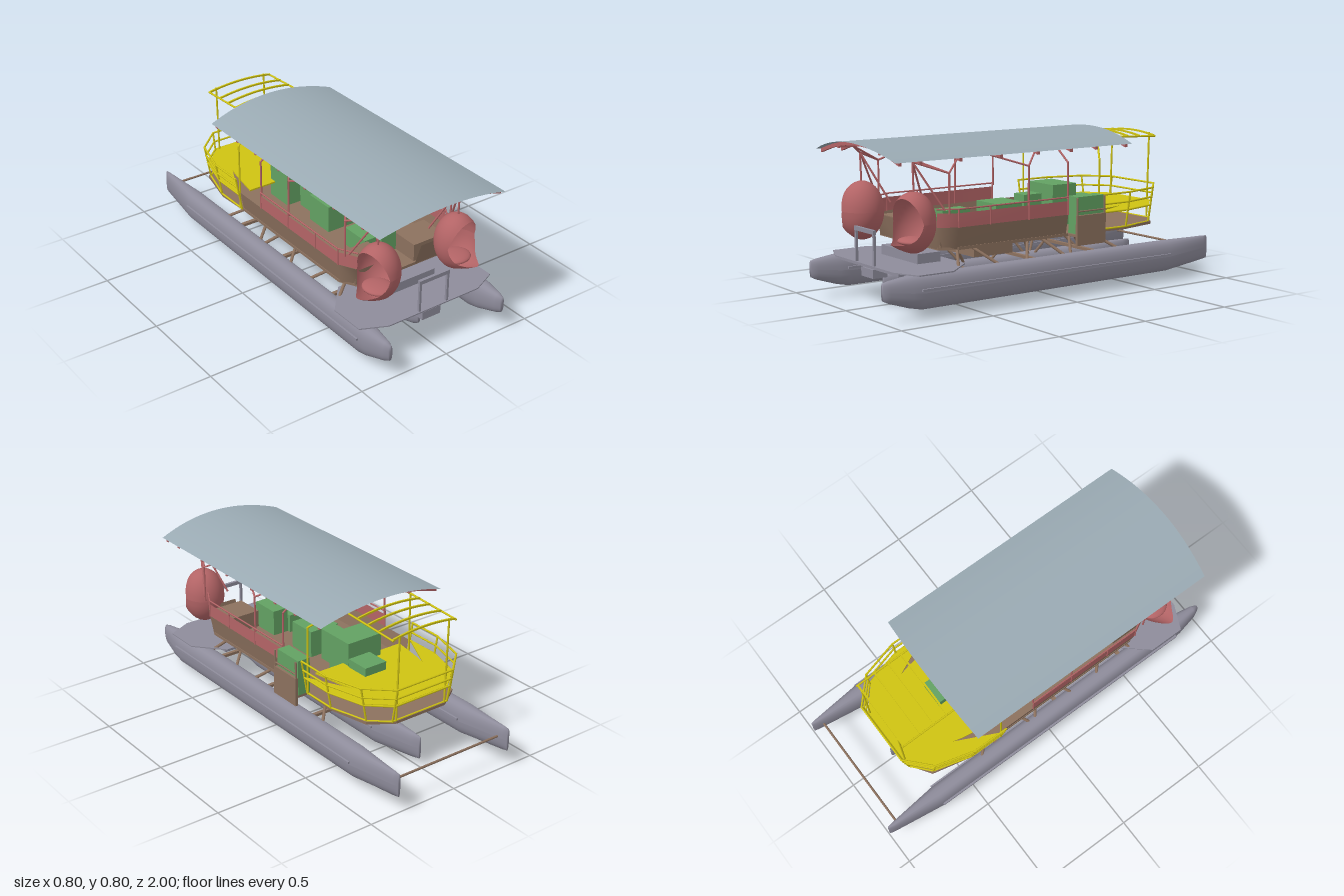
import * as THREE from 'three';

const mat = (color) => new THREE.MeshStandardMaterial({ color, side: THREE.DoubleSide, roughness: 0.8 });
const V = (p) => new THREE.Vector3(...p);

export function createModel() {
  const root = new THREE.Group();
  const grey = mat(0x8e8c9b), brown = mat(0x8c715e), red = mat(0xb36466),
    green = mat(0x62a162), yellow = mat(0xcfc312), blue = mat(0x9aaab3);

  const add = (name, geo, m, parent = root) => {
    const mesh = new THREE.Mesh(geo, m);
    mesh.name = name;
    parent.add(mesh);
    return mesh;
  };
  // box from its minimum and maximum corners
  const box = (name, m, a, b) => {
    const mesh = add(name, new THREE.BoxGeometry(b[0] - a[0], b[1] - a[1], b[2] - a[2]), m);
    mesh.position.set((a[0] + b[0]) / 2, (a[1] + b[1]) / 2, (a[2] + b[2]) / 2);
    return mesh;
  };
  // straight rods joining a list of points
  const rods = (name, m, pts, r = 0.004) => {
    for (let i = 1; i < pts.length; i++) {
      const a = V(pts[i - 1]), d = V(pts[i]).sub(a);
      const mesh = add(name, new THREE.CylinderGeometry(r, r, d.length() + r, 8), m);
      mesh.position.copy(a).addScaledVector(d, 0.5);
      mesh.quaternion.setFromUnitVectors(new THREE.Vector3(0, 1, 0), d.normalize());
    }
  };
  // horizontal plate from an (x, z) outline
  const plate = (name, m, pts, y0, y1) => {
    const shape = new THREE.Shape(pts.map(([x, z]) => new THREE.Vector2(x, -z)));
    const geo = new THREE.ExtrudeGeometry(shape, { depth: y1 - y0, bevelEnabled: false });
    geo.rotateX(-Math.PI / 2).translate(0, y0, 0);
    return add(name, geo, m);
  };
  const mirror = (half) => [...half, ...half.map(([x, z]) => [-x, z]).reverse()];
  // skin through rows of points
  const loft = (rows) => {
    const n = rows[0].length, idx = [];
    for (let i = 0; i < rows.length - 1; i++)
      for (let j = 0; j < n - 1; j++) {
        const a = i * n + j, b = a + n;
        idx.push(a, b, a + 1, b, b + 1, a + 1);
      }
    const geo = new THREE.BufferGeometry();
    geo.setAttribute('position', new THREE.Float32BufferAttribute(rows.flat(2), 3));
    geo.setIndex(idx);
    geo.computeVertexNormals();
    return geo;
  };

  // floats: rounded sections [z, halfWidth, bottom, top]
  const pontoon = (name, cx, sections) => {
    const rows = sections.map(([z, w, b, t]) => {
      const ring = [];
      for (let i = 0; i <= 24; i++) {
        const a = (i / 24) * Math.PI * 2, c = Math.cos(a), s = Math.sin(a);
        ring.push([cx + w * Math.sign(c) * Math.abs(c) ** 0.75,
          (b + t) / 2 + (t - b) / 2 * Math.sign(s) * Math.abs(s) ** 0.9, z]);
      }
      return ring;
    });
    const tip = ([z, , b, t]) => Array(25).fill([cx, (b + t) / 2, z]);
    add(name, loft([tip(sections[0]), ...rows, tip(sections.at(-1))]), grey);
  };
  const outer = [[-1, 0.008, 0.085, 0.205], [-0.97, 0.016, 0.08, 0.207], [-0.7, 0.052, 0.05, 0.21],
    [0.8, 0.052, 0.042, 0.21], [0.86, 0.048, 0.055, 0.208], [0.97, 0.026, 0.09, 0.195], [1, 0.012, 0.105, 0.188]];
  const middle = [[-0.75, 0.008, 0.045, 0.165], [-0.7, 0.02, 0.035, 0.168], [-0.45, 0.053, 0, 0.17],
    [0.57, 0.053, 0, 0.17], [0.64, 0.047, 0.012, 0.168], [0.76, 0.026, 0.045, 0.155], [0.79, 0.01, 0.06, 0.148]];
  for (const s of [-1, 1]) {
    pontoon('sideFloat', s * 0.34, outer);
    for (const e of [-1, 1]) {
      const x = s * 0.34 + e * 0.055, cx = e * 0.055;
      box('floatRail', grey, [x - 0.006, 0.136, -0.7], [x + 0.006, 0.147, 0.82]);
      box('middleFloatRail', grey, [cx - 0.006, 0.096, -0.45], [cx + 0.006, 0.107, 0.57]);
    }
  }
  pontoon('middleFloat', 0, middle);
  rods('sternPole', brown, [[-0.34, 0.147, -0.945], [0.34, 0.147, -0.945]], 0.006);

  // bow deck, step and small railing
  plate('bowDeck', grey, mirror([[0.27, 0.5], [0.4, 0.65], [0.4, 0.84], [0.27, 0.9]]), 0.209, 0.215);
  box('deckBeam', grey, [-0.27, 0.19, 0.52], [0.27, 0.21, 0.87]);
  box('deckStep', grey, [-0.165, 0.215, 0.57], [0.165, 0.263, 0.7]);
  box('bowBracket', grey, [-0.055, 0.147, 0.8], [0.055, 0.19, 0.88]);
  for (const s of [-1, 1]) box('bowRailPost', grey, [s * 0.083 - 0.006, 0.213, 0.882], [s * 0.083 + 0.006, 0.37, 0.894]);
  box('bowRailTop', grey, [-0.09, 0.365, 0.88], [0.09, 0.385, 0.896]);

  // support struts
  for (const [zt, zb] of [[0.5, 0.57], [0.44, 0.34], [0.08, 0.17], [0.02, -0.06], [-0.18, -0.1], [-0.28, -0.4]]) {
    for (const s of [-1, 1]) {
      rods('hullStrut', brown, [[s * 0.2, 0.29, zt], [s * 0.32, 0.2, zb]], 0.008);
      rods('middleStrut', brown, [[s * 0.08, 0.29, zt], [s * 0.02, 0.16, zb]], 0.007);
    }
  }
  for (const z of [0.5, 0.08, -0.3]) box('crossBeam', brown, [-0.32, 0.178, z - 0.01], [0.32, 0.192, z + 0.01]);
  box('underfloorTank', brown, [-0.2, 0.22, 0.17], [0.2, 0.292, 0.4]);

  // cabin floor, flared walls and bow lockers
  plate('cabinFloor', brown, mirror([[0.15, -0.75], [0.27, -0.67], [0.32, -0.45], [0.31, -0.27],
    [0.31, 0.56], [0.26, 0.65]]), 0.29, 0.304);
  plate('sideLanding', brown, [[0.3, -0.27], [0.385, -0.27], [0.385, -0.09], [0.3, -0.09]], 0.292, 0.304);
  const wall = (name, m, s, pts, y0, y1, flare) =>
    add(name, loft([pts.map(([x, z]) => [s * x, y0, z]), pts.map(([x, z]) => [s * (x + flare), y1, z + (z > 0.6 ? flare : 0)])]), m);
  for (const s of [-1, 1]) {
    wall('lowerWall', brown, s, [[0.305, s < 0 ? -0.27 : -0.08], [0.305, 0.57], [0.255, 0.65], [0.08, 0.65]], 0.295, 0.4, 0.02);
    wall('upperWall', red, s, [[0.325, -0.08], [0.325, 0.57], [0.275, 0.66]], 0.4, 0.468, 0);
    box('bowLocker', brown, s < 0 ? [-0.27, 0.3, 0.48] : [0.08, 0.3, 0.48], s < 0 ? [-0.08, 0.395, 0.64] : [0.27, 0.395, 0.64]);
    rods('handrail', red, [[s * 0.325, 0.487, -0.08], [s * 0.325, 0.487, 0.57], [s * 0.275, 0.487, 0.66]], 0.004);
    for (const z of [-0.08, 0.16, 0.39, 0.57]) rods('handrailPost', red, [[s * 0.325, 0.4, z], [s * 0.325, 0.487, z]], 0.004);
  }
  box('boardingPanel', brown, [0.372, 0.25, -0.27], [0.386, 0.4, -0.09]);
  for (const z of [-0.265, -0.095]) rods('boardingPost', brown, [[0.38, 0.4, z], [0.38, 0.485, z]], 0.005);
  rods('boardingRail', brown, [[0.38, 0.42, -0.265], [0.38, 0.42, -0.095]], 0.004);

  // cabin furniture
  for (const [a, b] of [
    [[0.3, 0.304, -0.27], [0.37, 0.49, -0.1]], [[-0.11, 0.304, -0.31], [0.095, 0.515, -0.16]],
    [[-0.03, 0.304, -0.45], [0.1, 0.44, -0.32]], [[-0.095, 0.304, 0.02], [0.075, 0.445, 0.18]],
    [[-0.01, 0.304, 0.34], [0.08, 0.44, 0.5]], [[-0.095, 0.304, 0.32], [-0.01, 0.4, 0.48]],
    [[-0.05, 0.304, -0.13], [0.04, 0.47, -0.02]]])
    box('cabinet', green, a, b);

  // curved roof with end edges that follow the camber
  const camber = (x) => 0.797 - 0.47 * x * x;
  const roofRows = [];
  for (let i = 0; i <= 24; i++) {
    const x = -0.37 + 0.74 * i / 24, k = (x / 0.37) ** 2;
    roofRows.push([[x, camber(x), -0.47 + 0.02 * k], [x, camber(x), 0.97 - 0.03 * k]]);
  }
  add('roof', loft(roofRows), blue);
  const arch = (name, m, z, w, h, d, drop) => {
    const shape = new THREE.Shape(), top = [], low = [];
    for (let i = 0; i <= 12; i++) {
      const x = -w + 2 * w * i / 12;
      top.push(new THREE.Vector2(x, camber(x) - drop));
      low.unshift(new THREE.Vector2(x, camber(x) - drop - h));
    }
    shape.setFromPoints([...top, ...low]);
    add(name, new THREE.ExtrudeGeometry(shape, { depth: d, bevelEnabled: false }).translate(0, 0, z - d / 2), m);
  };
  for (const z of [0.91, 0.8, 0.58, 0.35, 0.13, -0.07, -0.23, -0.42]) arch('roofRib', red, z, 0.36, 0.018, 0.016, 0.002);

  // roof frame, and brackets for the hanging seats
  for (const s of [-1, 1]) {
    const x = s * 0.32, t = s * 0.19, apex = [s * 0.24, 0.715, 0.77];
    box('roofBeam', red, [t - 0.006, 0.752, -0.43], [t + 0.006, 0.77, 0.92]);
    for (const [z, ends] of [[0.62, [0.45, 0.84]], [0.16, [0, 0.45]]]) {
      rods('roofPost', red, [[x, 0.47, z], [x, 0.66, z]], 0.005);
      for (const e of ends) rods('roofBrace', red, [[x, 0.66, z], [t, 0.758, e]], 0.005);
    }
    rods('rearRoofPost', red, [[x, 0.48, -0.08], [x, 0.66, -0.08], [t, 0.758, -0.08]], 0.005);
    for (const p of [[x, 0.66, 0.62], [s * 0.31, 0.487, 0.64], [s * 0.16, 0.47, 0.65], [s * 0.24, 0.57, 0.765], [t, 0.758, 0.84]])
      rods('seatBracket', red, [apex, p], 0.005);
  }

  // egg seats: a shell cut open at the front with a projecting lower lip
  const egg = (s, turn) => {
    const g = new THREE.Group();
    g.name = 'eggSeat';
    const rows = [];
    for (let i = 0; i <= 18; i++) {
      const row = [];
      for (let j = 0; j <= 32; j++) {
        const a = (j / 32) * Math.PI * 2, low = Math.max(0, -Math.sin(a)) ** 4;
        const th = (i / 18) * (1.86 + 0.35 * Math.abs(Math.sin(a)) + 0.15 * low);
        const r = Math.sin(th), lip = low * Math.max(0, i / 18 - 0.8) * 0.3;
        row.push([0.108 * r * Math.cos(a), 0.146 * r * Math.sin(a) + lip * 0.2, -0.108 * Math.cos(th) + lip]);
      }
      rows.push(row);
    }
    add('eggShell', loft(rows), red, g);
    const cushion = add('eggCushion', new THREE.SphereGeometry(0.085, 24, 12), red, g);
    cushion.scale.set(0.95, 0.25, 0.85);
    cushion.position.set(0, -0.088, 0);
    g.position.set(s * 0.235, 0.431, 0.765);
    g.rotation.y = turn;
    root.add(g);
  };
  egg(1, 0.2);
  egg(-1, -1.4);

  // stern railing, bench and canopy frame
  const rail = (y, k) => {
    const half = [[0.35 - k, -0.27], [0.35 - k, -0.46], [0.295 - k, -0.66], [0.17, -0.775 + k]];
    return mirror(half).map(([x, z]) => [x, y, z]);
  };
  const base = rail(0.304, 0.033), topRail = rail(0.485, 0);
  for (const [y, k] of [[0.485, 0], [0.435, 0.008], [0.392, 0.016], [0.304, 0.033]]) rods('sternRail', yellow, rail(y, k), 0.005);
  base.forEach((p, i) => rods('sternRailPost', yellow, [p, topRail[i]], 0.005));
  plate('sternBench', yellow, [...mirror([[0.335, -0.27], [0.335, -0.46], [0.28, -0.65], [0.16, -0.755]]),
    ...mirror([[0.13, -0.695], [0.195, -0.61], [0.235, -0.45], [0.265, -0.27]]).reverse()], 0.388, 0.396);
  for (const s of [-1, 1]) {
    rods('canopyFrontPost', yellow, [[s * 0.32, 0.304, -0.28], [s * 0.32, 0.66, -0.28], [s * 0.19, 0.755, -0.37]], 0.005);
    rods('canopyRail', yellow, [[s * 0.19, 0.755, -0.37], [s * 0.19, 0.738, -0.76]], 0.005);
    rods('canopyRearPost', yellow, [[s * 0.15, 0.304, -0.745], [s * 0.15, 0.752, -0.757]], 0.005);
  }
  [-0.5, -0.575, -0.655, -0.755].forEach((z, i) => arch('canopyBow', yellow, z, 0.19, 0.009, 0.009, 0.022 + i * 0.004));

  return root;
}
